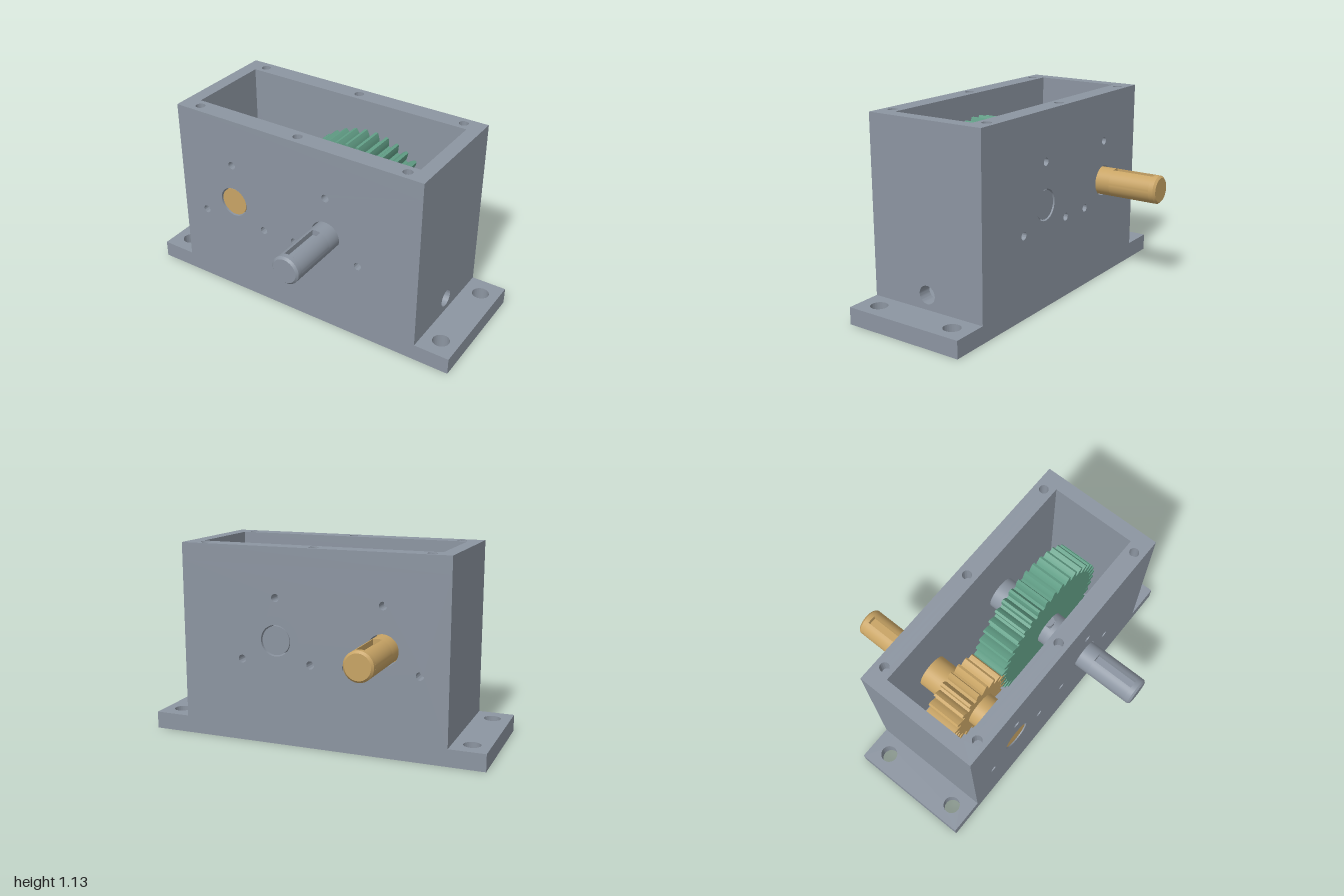
import * as THREE from 'three';
import { toCreasedNormals } from 'three/addons/utils/BufferGeometryUtils.js';

const castGrey = new THREE.MeshStandardMaterial({ name: 'castGrey', color: 0x8c95a1 });
const brass = new THREE.MeshStandardMaterial({ name: 'brass', color: 0xc8a465 });
const gearGreen = new THREE.MeshStandardMaterial({ name: 'gearGreen', color: 0x629f87 });

const AXIS_Y = 0.603, PINION_X = -0.42, WHEEL_X = 0.21, MODULE = 0.021;
const OUT_X = 0.79, OUT_Z = 0.366, IN_X = 0.71, IN_Z = 0.255;
const BASE_H = 0.1, RIM_Y = 1.03, TOP_Y = 1.13;

const rect = (x0, y0, x1, y1) => new THREE.Shape([
  new THREE.Vector2(x0, y0), new THREE.Vector2(x1, y0),
  new THREE.Vector2(x1, y1), new THREE.Vector2(x0, y1),
]);
const circle = (x, y, r) => new THREE.Path().absarc(x, y, r, 0, Math.PI * 2, false);
const disc = (r) => new THREE.Shape().absarc(0, 0, r, 0, Math.PI * 2, false);

// Extrude a shape along z from z0 to z1, smooth on round sides
function prism(shape, z0, z1) {
  const g = new THREE.ExtrudeGeometry(shape, { depth: z1 - z0, bevelEnabled: false, curveSegments: 24 });
  return toCreasedNormals(g.translate(0, 0, z0), 0.5);
}

function add(parent, name, geometry, material) {
  const mesh = new THREE.Mesh(geometry, material);
  mesh.name = name;
  parent.add(mesh);
  return mesh;
}

// Round section with a key slot cut in its top
function slotted(r, halfWidth, depth) {
  const a = Math.asin(halfWidth / r);
  const s = new THREE.Shape();
  s.absarc(0, 0, r, Math.PI / 2 + a, Math.PI * 2.5 - a, false);
  s.lineTo(halfWidth, r - depth);
  s.lineTo(-halfWidth, r - depth);
  return s;
}

// Spur gear outline with curved flanks and a bore
function gearShape(teeth, bore, phase) {
  const pitchR = MODULE * teeth / 2, step = Math.PI * 2 / teeth;
  const root = pitchR - 1.25 * MODULE, tip = pitchR + MODULE;
  const flank = [[root, 0.36], [pitchR - 0.5 * MODULE, 0.3], [pitchR, 0.245], [pitchR + 0.5 * MODULE, 0.18], [tip, 0.11]];
  const pts = [];
  for (let i = 0; i < teeth; i++) {
    const mid = phase + i * step;
    const put = (r, a) => pts.push(new THREE.Vector2(r * Math.cos(a), r * Math.sin(a)));
    flank.forEach(([r, f]) => put(r, mid - f * step));
    [...flank].reverse().forEach(([r, f]) => put(r, mid + f * step));
  }
  const s = new THREE.Shape(pts);
  s.holes.push(circle(0, 0, bore));
  return s;
}

// Stepped shaft pointing along +z with an open key slot on its free end
function makeShaft(name, material, innerKey) {
  const shaft = new THREE.Group();
  shaft.name = name;
  const r = 0.083, R = 0.1, END = 0.747, CH = 0.012;
  add(shaft, 'journalBack', prism(disc(r), -0.36, -IN_Z), material);
  add(shaft, 'journalFront', prism(disc(r), IN_Z, 0.45), material);
  add(shaft, 'keySlotSection', prism(slotted(r, 0.025, 0.035), 0.45, 0.707), material);
  add(shaft, 'shaftEnd', prism(disc(r), 0.707, END - CH), material);
  const tip = new THREE.CylinderGeometry(r - CH, r, CH, 48).rotateX(Math.PI / 2);
  add(shaft, 'chamfer', tip.translate(0, 0, END - CH / 2), material);
  if (innerKey) {
    for (const s of [-1, 1]) {
      add(shaft, 'core', prism(disc(R), Math.min(s * 0.14, s * IN_Z), Math.max(s * 0.14, s * IN_Z)), material);
    }
    add(shaft, 'innerKeySection', prism(slotted(R, 0.035, 0.04), -0.14, 0.14), material);
    // Round-ended key lying in the slot
    const key = new THREE.Shape();
    key.absarc(0, 0.1, 0.034, 0, Math.PI, false);
    key.absarc(0, -0.1, 0.034, Math.PI, Math.PI * 2, false);
    add(shaft, 'key', prism(key, 0.055, 0.095).rotateX(-Math.PI / 2), material);
  } else {
    add(shaft, 'core', prism(disc(R), -IN_Z, IN_Z), material);
  }
  return shaft;
}

function makeHousing() {
  const housing = new THREE.Group();
  housing.name = 'housing';

  // Base plate with four mounting holes
  const base = rect(-1, -OUT_Z, 1, OUT_Z);
  for (const x of [-0.895, 0.895]) for (const z of [-0.25, 0.25]) base.holes.push(circle(x, z, 0.049));
  add(housing, 'basePlate', prism(base, 0, BASE_H).rotateX(-Math.PI / 2), castGrey);

  // Top rim with six screw holes
  const rim = rect(-OUT_X, -OUT_Z, OUT_X, OUT_Z);
  rim.holes.push(rect(-IN_X, -IN_Z, IN_X, IN_Z));
  for (const x of [-0.667, 0, 0.667]) for (const z of [-0.31, 0.31]) rim.holes.push(circle(x, z, 0.027));
  add(housing, 'topRim', prism(rim, RIM_Y, TOP_Y).rotateX(-Math.PI / 2), castGrey);

  // Front and back walls: outer layer carries blind cover screw holes
  const inner = rect(-OUT_X, BASE_H, OUT_X, RIM_Y);
  const outer = rect(-OUT_X, BASE_H, OUT_X, RIM_Y);
  for (const x of [PINION_X, WHEEL_X]) {
    inner.holes.push(circle(x, AXIS_Y, 0.14));
    outer.holes.push(circle(x, AXIS_Y, 0.14));
    for (let i = 0; i < 3; i++) {
      const a = Math.PI / 2 + i * Math.PI * 2 / 3;
      outer.holes.push(circle(x + 0.242 * Math.cos(a), AXIS_Y + 0.242 * Math.sin(a), 0.023));
    }
  }
  const cover = disc(0.14);
  cover.holes.push(circle(0, 0, 0.09));
  for (const [side, s] of [['front', 1], ['back', -1]]) {
    const layer = (shape, a, b) => prism(shape, Math.min(s * a, s * b), Math.max(s * a, s * b));
    add(housing, side + 'WallInner', layer(inner, IN_Z, 0.285), castGrey);
    add(housing, side + 'WallOuter', layer(outer, 0.285, OUT_Z), castGrey);
    for (const x of [PINION_X, WHEEL_X]) {
      add(housing, side + 'BearingCover', layer(cover, IN_Z, OUT_Z), castGrey).position.set(x, AXIS_Y, 0);
    }
  }

  // End walls, the left one with a drain hole
  for (const s of [1, -1]) {
    const wall = rect(-IN_Z, BASE_H, IN_Z, RIM_Y);
    if (s > 0) wall.holes.push(circle(0, 0.185, 0.052));
    const g = prism(wall, Math.min(s * IN_X, s * OUT_X), Math.max(s * IN_X, s * OUT_X));
    add(housing, s > 0 ? 'leftWall' : 'rightWall', g.rotateY(Math.PI / 2), castGrey);
  }
  return housing;
}

export function createModel() {
  const model = new THREE.Group();
  model.name = 'gearbox';
  model.add(makeHousing());

  // Input shaft with pinion, leaving through the back
  const input = new THREE.Group();
  input.name = 'inputAssembly';
  const inputShaft = makeShaft('inputShaft', brass, false);
  inputShaft.rotation.y = Math.PI;
  input.add(inputShaft);
  add(input, 'pinion', prism(gearShape(20, 0.098, 0), -0.103, 0.103), brass);
  input.position.set(PINION_X, AXIS_Y, 0);

  // Output shaft with large wheel, leaving through the front
  const output = new THREE.Group();
  output.name = 'outputAssembly';
  output.add(makeShaft('outputShaft', castGrey, true));
  add(output, 'wheel', prism(gearShape(40, 0.1, Math.PI / 40), -0.103, 0.103), gearGreen);
  output.position.set(WHEEL_X, AXIS_Y, 0);

  model.add(input, output);
  return model;
}
